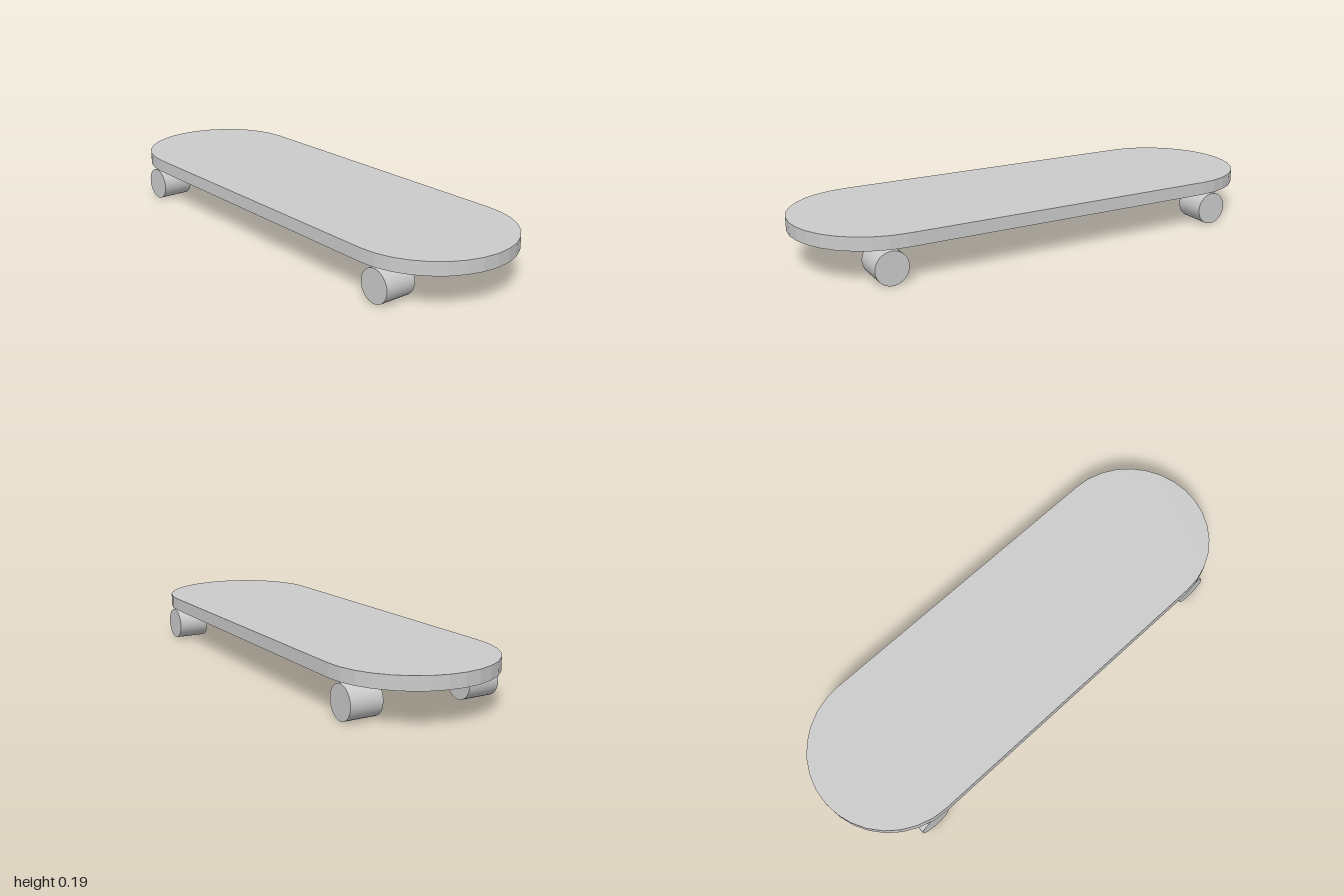
import * as THREE from 'three';

export function createModel() {
  const model = new THREE.Group();
  const material = new THREE.MeshStandardMaterial({ color: 0xcccccc });

  // Deck: flat stadium-shaped board with semicircular ends
  const radius = 0.331, straight = 1 - radius, thickness = 0.053;
  const outline = new THREE.Shape();
  outline.absarc(straight, 0, radius, -Math.PI / 2, Math.PI / 2);
  outline.absarc(-straight, 0, radius, Math.PI / 2, Math.PI * 1.5);
  outline.closePath();
  const deckGeometry = new THREE.ExtrudeGeometry(outline, {
    depth: thickness, bevelEnabled: false, curveSegments: 8,
  });
  deckGeometry.rotateX(-Math.PI / 2);
  const deck = new THREE.Mesh(deckGeometry, material);
  deck.name = 'deck';
  deck.position.y = 0.14;
  model.add(deck);

  // Wheels: four short cylinders lying across the board
  const wheelRadius = 0.0663, wheelWidth = 0.132;
  const wheelGeometry = new THREE.CylinderGeometry(wheelRadius, wheelRadius, wheelWidth, 32);
  wheelGeometry.rotateX(Math.PI / 2);
  for (const [end, x] of [['Left', 0.728], ['Right', -0.728]]) {
    for (const [side, z] of [['front', 0.253], ['back', -0.253]]) {
      const wheel = new THREE.Mesh(wheelGeometry, material);
      wheel.name = `${side}${end}Wheel`;
      wheel.position.set(x, wheelRadius, z);
      model.add(wheel);
    }
  }
  return model;
}
